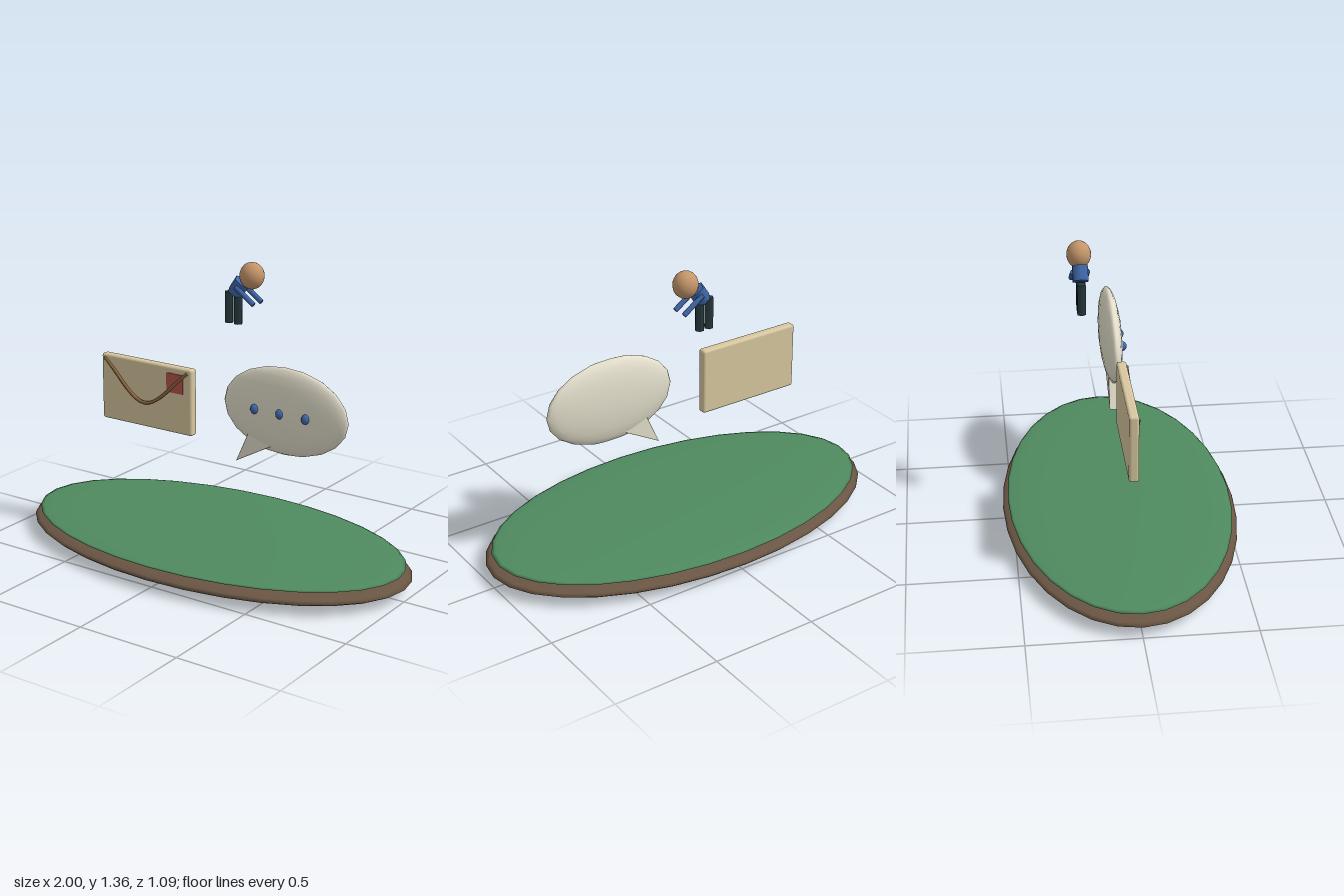
import * as THREE from 'three';
import { RoundedBoxGeometry } from 'three/addons/geometries/RoundedBoxGeometry.js';

const mat = (color) => new THREE.MeshStandardMaterial({ color });
const earth = mat(0x6b5644), grass = mat(0x4f8a5f), paper = mat(0xd8c8a0), cord = mat(0x8f683f);
const wax = mat(0xb5544a), bubble = mat(0xe4dfcc), blue = mat(0x3f66a8), dark = mat(0x26383c), skin = mat(0xc4956a);

function add(parent, name, geometry, material, x = 0, y = 0, z = 0) {
  const mesh = new THREE.Mesh(geometry, material);
  mesh.name = name;
  mesh.position.set(x, y, z);
  parent.add(mesh);
  return mesh;
}

function group(parent, name, x = 0, y = 0, z = 0) {
  const g = new THREE.Group();
  g.name = name;
  g.position.set(x, y, z);
  parent.add(g);
  return g;
}

const ellipsoid = (rx, ry, rz, w, h) => new THREE.SphereGeometry(1, w, h).scale(rx, ry, rz);
// Six-sided post with its corners towards x
const hexPost = (r, h) => new THREE.CylinderGeometry(r, r, h, 6).rotateY(Math.PI / 2);

export function createModel() {
  const model = new THREE.Group();
  model.name = 'floatingMessages';

  // Oval ground
  const ground = group(model, 'ground');
  add(ground, 'earthBase', ellipsoid(1, 0.055, 0.545, 32, 16), earth, 0, 0.058, 0);
  add(ground, 'grassTop', ellipsoid(0.97, 0.018, 0.522, 32, 16), grass, 0, 0.105, 0);

  // Envelope with flap line and stamp
  const envelope = group(model, 'envelope', -0.38, 0.71, 0);
  add(envelope, 'envelopeBody', new RoundedBoxGeometry(0.52, 0.32, 0.044, 3, 0.012), paper);
  const flap = new THREE.CatmullRomCurve3([
    new THREE.Vector3(-0.24, 0.142, 0.022),
    new THREE.Vector3(0, -0.037, 0.034),
    new THREE.Vector3(0.24, 0.142, 0.022),
  ]);
  add(envelope, 'flapLine', new THREE.TubeGeometry(flap, 24, 0.008, 6), cord);
  add(envelope, 'stamp', new THREE.BoxGeometry(0.092, 0.092, 0.008), wax, 0.168, 0.083, 0.023);

  // Speech bubble with three dots and a tail
  const speech = group(model, 'speechBubble', 0.375, 0.76, 0);
  add(speech, 'bubbleBody', ellipsoid(0.325, 0.203, 0.05, 24, 10), bubble);
  for (const x of [-0.133, 0, 0.133]) {
    add(speech, 'dot', ellipsoid(0.019, 0.023, 0.019, 12, 8), blue, x, 0, 0.046);
  }
  const tail = new THREE.Shape([
    new THREE.Vector2(-0.245, -0.273),
    new THREE.Vector2(0.0, -0.138),
    new THREE.Vector2(-0.168, -0.1),
  ]);
  const tailGeometry = new THREE.ExtrudeGeometry(tail, {
    depth: 0.04, bevelEnabled: true, bevelThickness: 0.006, bevelSize: 0.003, bevelOffset: -0.003, bevelSegments: 2,
  }).translate(0, 0, -0.02);
  add(speech, 'bubbleTail', tailGeometry, bubble);

  // Small figure leaning forward along +x
  const figure = group(model, 'figure', 0, 1.07, -0.167);
  for (const x of [-0.04, 0.01]) {
    add(figure, 'leg', hexPost(0.0215, 0.145), dark, x, 0.0725, 0);
  }
  add(figure, 'torso', hexPost(0.039, 0.07), blue, 0.013, 0.172, 0).rotation.z = -0.6;
  add(figure, 'head', ellipsoid(0.058, 0.062, 0.055, 20, 14), skin, 0.084, 0.234, 0);
  for (const side of [-1, 1]) {
    const arm = add(figure, 'arm', new THREE.CylinderGeometry(0.012, 0.012, 0.12, 6), blue, 0.066, 0.144, side * 0.033);
    arm.rotation.z = 0.95;
  }

  return model;
}
